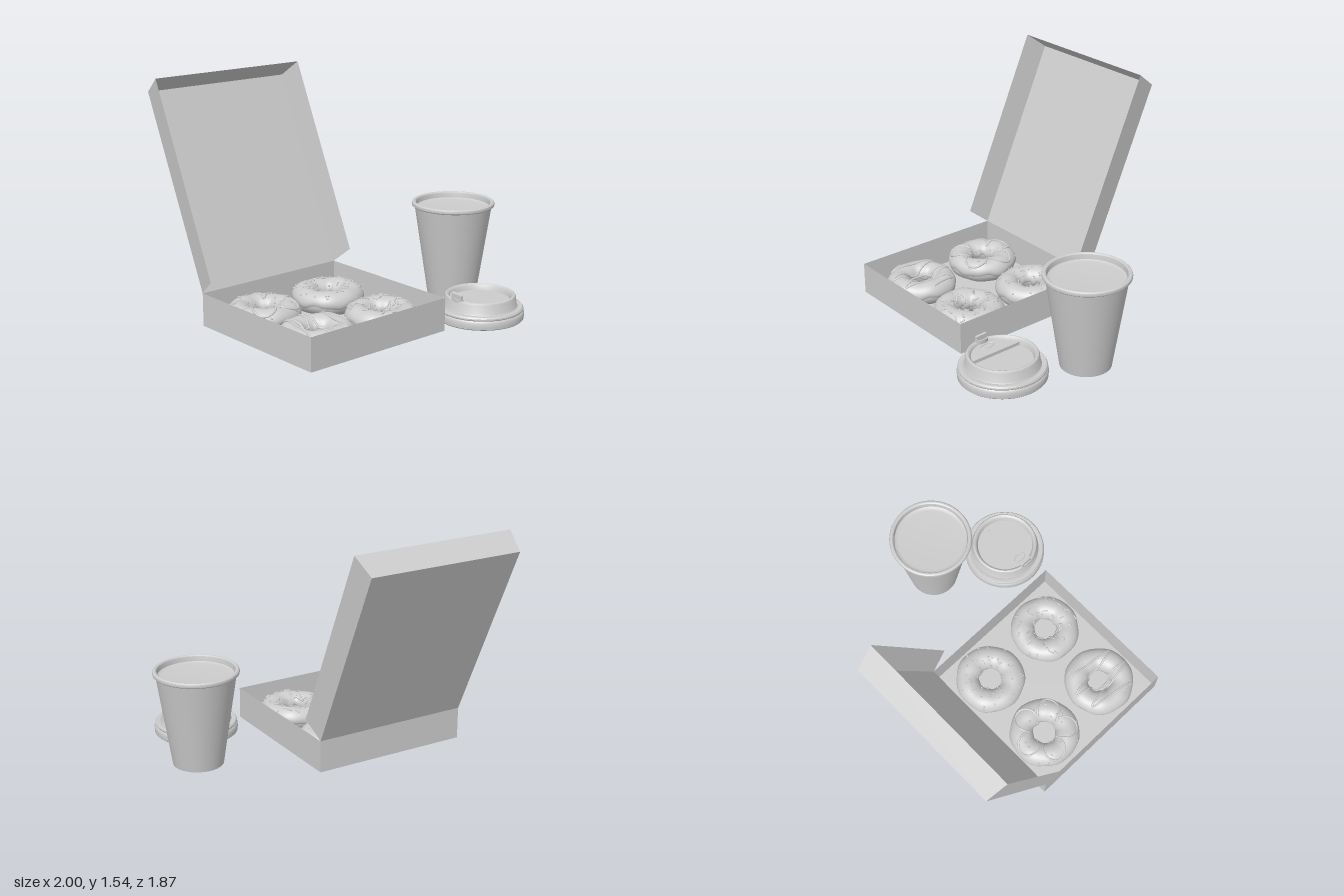
import * as THREE from 'three';
import { mergeGeometries, mergeVertices, toCreasedNormals } from 'three/addons/utils/BufferGeometryUtils.js';

const material = new THREE.MeshStandardMaterial({ color: 0xcccccc, side: THREE.DoubleSide });
const TAU = Math.PI * 2;

function add(parent, name, geometry, x = 0, y = 0, z = 0) {
  const mesh = new THREE.Mesh(geometry, material);
  mesh.name = name;
  mesh.position.set(x, y, z);
  parent.add(mesh);
  return mesh;
}

function group(parent, name, x = 0, y = 0, z = 0) {
  const g = new THREE.Group();
  g.name = name;
  g.position.set(x, y, z);
  parent.add(g);
  return g;
}

function seeded(seed) {
  let s = seed * 7919 + 17;
  return () => (s = (s * 16807) % 2147483647) / 2147483647;
}

// Thin cardboard panel from four corners
function panel(a, b, c, d) {
  const g = new THREE.BufferGeometry();
  g.setAttribute('position', new THREE.Float32BufferAttribute([a, b, c, d].flat(), 3));
  g.setIndex([0, 1, 2, 0, 2, 3]);
  const flat = g.toNonIndexed();
  flat.computeVertexNormals();
  return flat;
}

function lathe(points, segments = 64) {
  const g = new THREE.LatheGeometry(points.map(p => new THREE.Vector2(...p)), segments);
  return toCreasedNormals(g, 0.6);
}

// Extrude a plan shape upwards (shape y becomes -z)
function slab(shape, height, curveSegments = 24) {
  return new THREE.ExtrudeGeometry(shape, { depth: height, bevelEnabled: false, curveSegments }).rotateX(-Math.PI / 2);
}

// ---- Box with open lid ----
function buildBox(root) {
  const box = group(root, 'donutBox');
  const L = -0.97, R = 0.12, F = 0.69, B = -0.39, T = 0.217;
  add(box, 'boxFloor', panel([L, 0, F], [R, 0, F], [R, 0, B], [L, 0, B]));
  const corners = [[L, F], [R, F], [R, B], [L, B]];
  ['boxFront', 'boxLeft', 'boxBack', 'boxRight'].forEach((name, i) => {
    const [x0, z0] = corners[i], [x1, z1] = corners[(i + 1) % 4];
    add(box, name, panel([x0, 0, z0], [x1, 0, z1], [x1, T, z1], [x0, T, z0]));
  });
  // Lid leans back from the hinge; its flaps flare outwards
  const lid = group(box, 'boxLid');
  const topY = 1.44, topZ = -0.94, rimY = 1.545, rimZ = -0.8, flare = 0.03;
  add(lid, 'lidPanel', panel([L, T, B], [R, T, B], [R, topY, topZ], [L, topY, topZ]));
  add(lid, 'lidEndFlap', panel([L, topY, topZ], [R, topY, topZ], [R + flare, rimY, rimZ], [L - flare, rimY, rimZ]));
  for (const [name, x, o] of [['lidLeftFlap', R, flare], ['lidRightFlap', L, -flare]]) {
    add(lid, name, panel([x, T, B], [x + o, 0.325, -0.255], [x + o, rimY, rimZ], [x, topY, topZ]));
  }
}

// ---- Donuts ----
const RING = 0.157, DOUGH = 0.075, ICING = 0.083;

// Point on a slightly lumpy ring: u around the ring, v around the tube
function ringPoint(seed, u, v, r) {
  const lump = 1 + 0.03 * Math.sin(3 * u + seed) + 0.025 * Math.sin(7 * u + 2 * seed);
  const rho = RING + r * lump * Math.cos(v);
  return new THREE.Vector3(rho * Math.cos(u), r * lump * Math.sin(v), rho * Math.sin(u));
}

// Closed-around-u surface made by bending a grid
function bentGrid(nu, nv, rule) {
  const g = new THREE.PlaneGeometry(1, 1, nu, nv);
  const pos = g.attributes.position;
  for (let i = 0; i < pos.count; i++) {
    const p = rule(-TAU * (pos.getX(i) + 0.5), pos.getY(i) + 0.5);
    pos.setXYZ(i, p.x, p.y, p.z);
  }
  g.deleteAttribute('uv');
  g.deleteAttribute('normal');
  const merged = mergeVertices(g, 1e-5);
  merged.computeVertexNormals();
  return merged;
}

// Sprinkles lying on the icing, turned at random
function sprinkles(seed, count, radius, length) {
  const rnd = seeded(seed), parts = [];
  for (let i = 0; i < count; i++) {
    const u = TAU * (i * 0.618034 + 0.04 * rnd()), v = Math.PI / 2 + (rnd() - 0.5) * 2.3;
    const normal = new THREE.Vector3(Math.cos(v) * Math.cos(u), Math.sin(v), Math.cos(v) * Math.sin(u));
    const along = new THREE.Vector3(-Math.sin(u), 0, Math.cos(u)).applyAxisAngle(normal, rnd() * Math.PI);
    const side = new THREE.Vector3().crossVectors(along, normal);
    const m = new THREE.Matrix4().makeBasis(side, along, normal).setPosition(ringPoint(seed, u, v, ICING + 0.002));
    parts.push(new THREE.CapsuleGeometry(radius, length, 3, 8).applyMatrix4(m));
  }
  return mergeGeometries(parts);
}

// Icing line draped over the ring from a plan curve of [x, z]
function drizzle(seed, plan, closed) {
  const points = [], n = 140;
  for (let i = 0; i < n; i++) {
    const [x, z] = plan(closed ? i / n : i / (n - 1));
    const c = THREE.MathUtils.clamp((Math.hypot(x, z) - RING) / ICING, -0.96, 0.96);
    points.push(ringPoint(seed, Math.atan2(z, x), Math.acos(c), ICING + 0.001));
  }
  return new THREE.TubeGeometry(new THREE.CatmullRomCurve3(points, closed), 280, 0.007, 8, closed);
}

const flower = t => {
  const p = 5 * TAU * t, a = TAU * t + 0.16 * Math.sin(p) - 0.3;
  const rho = RING + 0.006 + 0.058 * Math.cos(p);
  return [rho * Math.cos(a), rho * Math.sin(a)];
};
const zigzag = t => {
  const x = -0.2 + 0.4 * t;
  return [x, 0.93 * Math.sqrt(0.225 ** 2 - x * x) * Math.sin(TAU * 3 * t + 0.4)];
};

function buildDonut(root, name, seed, x, z) {
  const donut = group(root, name, x, 0.087, z);
  add(donut, 'dough', bentGrid(48, 24, (u, t) => ringPoint(seed, u, TAU * t, DOUGH)));
  // Icing cap with a wavy dripping edge tucked into the dough
  add(donut, 'icing', bentGrid(72, 28, (u, t) => {
    const drip = 0.2 + 0.16 * Math.sin(6 * u + seed) + 0.08 * Math.sin(11 * u);
    const edge = Math.min(t, 1 - t);
    const r = DOUGH - 0.004 + (ICING - DOUGH + 0.004) * Math.sqrt(Math.min(1, edge / 0.12));
    return ringPoint(seed, u, -drip + (Math.PI + 2 * drip) * t, r);
  }));
  return donut;
}

function buildDonuts(root) {
  const a = buildDonut(root, 'flowerDonut', 1, -0.69, -0.12);
  add(a, 'flowerIcingLine', drizzle(1, flower, true));
  add(a, 'sprinkles', sprinkles(1, 34, 0.005, 0.008));
  const b = buildDonut(root, 'dottedDonut', 2, -0.16, -0.12);
  add(b, 'sugarDots', sprinkles(2, 70, 0.006, 0.002));
  const c = buildDonut(root, 'drizzledDonut', 3, -0.69, 0.41);
  add(c, 'drizzle', drizzle(3, zigzag, false));
  const d = buildDonut(root, 'sprinkledDonut', 4, -0.16, 0.41);
  add(d, 'sprinkles', sprinkles(4, 52, 0.0055, 0.026));
}

// ---- Paper cup ----
function buildCup(root) {
  const cup = group(root, 'cup', 0.715, 0, 0.16);
  add(cup, 'cupBody', lathe([
    [0, 0.02], [0.155, 0.02], [0.157, 0], [0.166, 0], [0.26, 0.615], [0.271, 0.616], [0.278, 0.622],
    [0.28, 0.632], [0.277, 0.642], [0.269, 0.648], [0.26, 0.648], [0.252, 0.642], [0.249, 0.63], [0.245, 0.595],
  ]));
  add(cup, 'coffee', lathe([[0.248, 0.61], [0.24, 0.604], [0.22, 0.602], [0, 0.602]]));
}

// ---- Cup lid ----
function buildCupLid(root) {
  const lid = group(root, 'cupLid', 0.487, 0, 0.645);
  const floorY = 0.118, plateauY = 0.14;
  add(lid, 'lidShell', lathe([
    [0.278, 0], [0.284, 0.006], [0.285, 0.02], [0.285, 0.046], [0.28, 0.056], [0.276, 0.06], [0.28, 0.065],
    [0.28, 0.074], [0.273, 0.084], [0.25, 0.086], [0.243, 0.083], [0.238, 0.09], [0.23, 0.146], [0.225, 0.156],
    [0.216, 0.16], [0.207, 0.156], [0.2, 0.146], [0.192, floorY], [0, floorY],
  ]));
  // Raised drinking side, cut off by a straight step
  const half = Math.acos(0.06 / 0.196);
  const segment = new THREE.Shape().absarc(0, 0, 0.196, Math.PI - half, Math.PI + half, false);
  add(lid, 'drinkingStep', slab(segment, plateauY - floorY), 0, floorY, 0);
  // Spout slot and upright tab
  const slot = new THREE.Shape().absellipse(0, 0, 0.023, 0.046, 0, TAU);
  slot.holes.push(new THREE.Path().absellipse(0, 0, 0.014, 0.035, 0, TAU, true));
  add(lid, 'spoutSlot', slab(slot, 0.026), -0.207, 0.142, 0);
  const tab = new THREE.Shape([[-0.042, 0], [0.042, 0], [0.042, 0.035], [0.035, 0.043], [-0.042, 0.038]]
    .map(p => new THREE.Vector2(...p)));
  const tabGeometry = new THREE.ExtrudeGeometry(tab, { depth: 0.018, bevelEnabled: false }).rotateY(Math.PI / 2);
  add(lid, 'spoutTab', tabGeometry, -0.22, 0.155, 0);
  // Oval dimple and steam vent
  const oval = add(lid, 'ovalDimple', new THREE.TorusGeometry(0.04, 0.004, 8, 32).rotateX(Math.PI / 2), -0.15, plateauY, 0);
  oval.scale.set(0.58, 1, 1.15);
  add(lid, 'steamVent', new THREE.TorusGeometry(0.006, 0.002, 6, 16).rotateX(Math.PI / 2), 0.165, floorY, 0);
}

export function createModel() {
  const root = new THREE.Group();
  root.name = 'donutBoxAndCoffee';
  buildBox(root);
  buildDonuts(root);
  buildCup(root);
  buildCupLid(root);
  return root;
}
